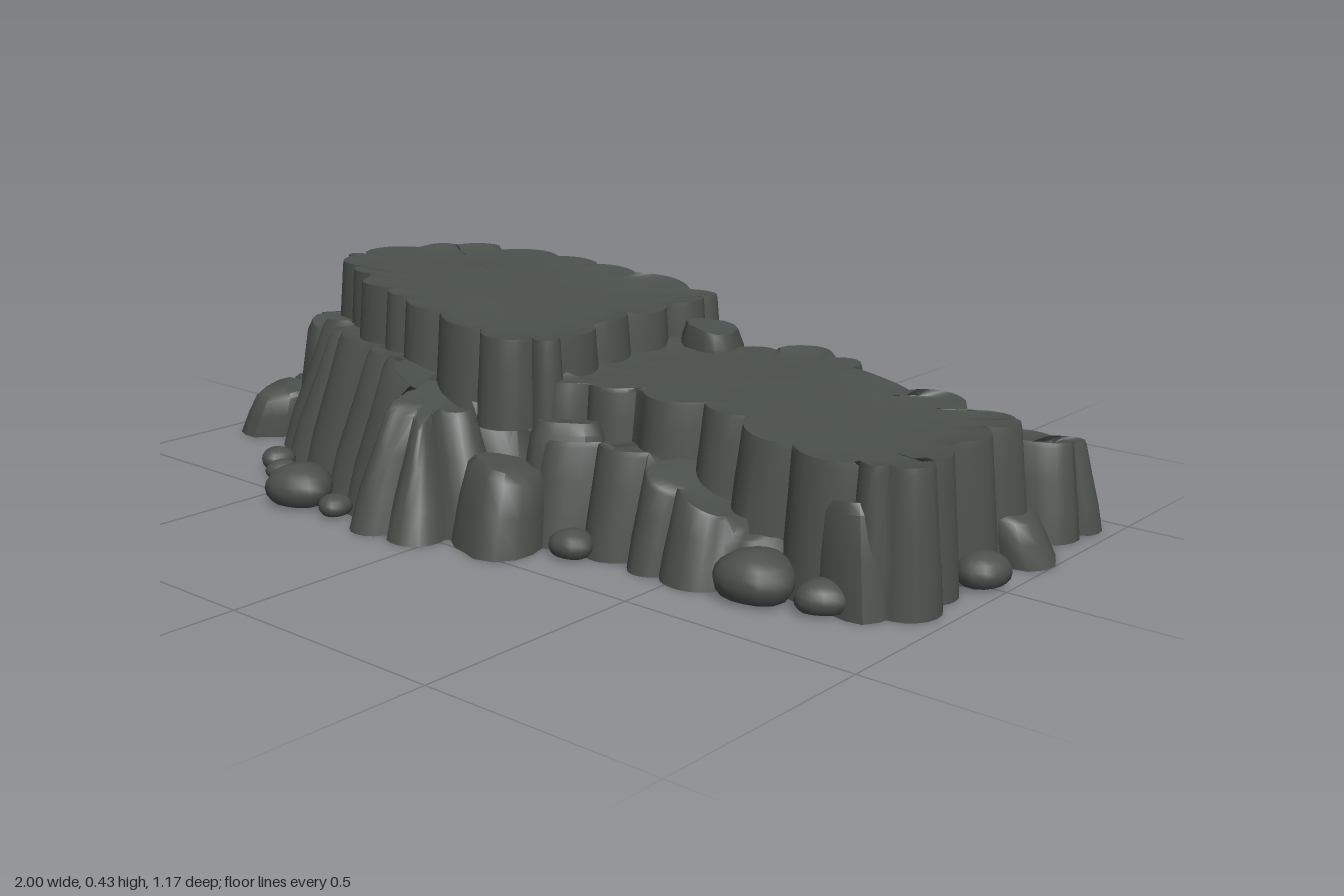
import * as THREE from 'three';
import { toCreasedNormals } from 'three/addons/utils/BufferGeometryUtils.js';

const stone = new THREE.MeshStandardMaterial({ color: 0x4a504c, side: THREE.DoubleSide });
stone.name = 'dark stone';

let seed = 7;
const rand = () => {
  seed = (seed * 16807) % 2147483647;
  return seed / 2147483647;
};
const vary = (amount) => (rand() - 0.5) * 2 * amount;

// Skin a stack of rings; a closed skin has its last ring collapsed to the middle
function skin(rings, crease, closed = true) {
  const n = rings[0].length;
  const index = [];
  for (let j = 0; j < rings.length - 1; j++) {
    for (let i = 0; i < n; i++) {
      const k = (i + 1) % n;
      const a = j * n + i, b = j * n + k, c = a + n, d = b + n;
      index.push(b, a, c);
      if (!closed || j < rings.length - 2) index.push(b, c, d);
    }
  }
  const geometry = new THREE.BufferGeometry();
  geometry.setAttribute('position', new THREE.Float32BufferAttribute(rings.flat(2), 3));
  geometry.setIndex(index);
  return toCreasedNormals(geometry, crease);
}

// Rock tier: base outline (clockwise from above) broken into column-like lobes.
// With a ledge it stays a hollow terrace, without one the top is closed.
function tier(name, outline, { base, inset, height, lobe, bulge, jag, ledge }) {
  const curve = new THREE.CatmullRomCurve3(outline.map(([x, z]) => new THREE.Vector3(x, 0, z)), true, 'centripetal');
  const count = Math.round(curve.getLength() / lobe);
  const cuts = Array.from({ length: count }, (_, k) => (k + vary(0.27) + 0.4) / count);
  const steps = 8;
  const rim = [];
  cuts.forEach((start, k) => {
    const end = k + 1 < count ? cuts[k + 1] : cuts[0] + 1;
    // narrow lobes stay shallow
    const depth = bulge * (1 + vary(0.3)) * (end - start) * count;
    const lift = vary(jag), slope = inset * (1 + vary(0.15));
    for (let s = 0; s < steps; s++) {
      const u = (start + (end - start) * s / steps) % 1;
      const p = curve.getPointAt(u), t = curve.getTangentAt(u);
      const round = Math.pow(Math.sin(Math.PI * s / steps), 0.75);
      rim.push({ x: p.x, z: p.z, nx: t.z, nz: -t.x, out: depth * (round - 0.5), lift, slope });
    }
  });
  const cx = rim.reduce((sum, p) => sum + p.x, 0) / rim.length;
  const cz = rim.reduce((sum, p) => sum + p.z, 0) / rim.length;
  const place = (p, rise, shift) => {
    const o = p.out - p.slope * shift;
    const x = p.x + p.nx * o, z = p.z + p.nz * o, foot = base(p.x, p.z);
    return [x, foot + (height(x, z) + p.lift - foot) * rise, z];
  };
  // Wall profile: rise and share of the inset
  const rings = [[0, 0], [0.3, 0.25], [0.65, 0.65], [0.95, 0.97], [1, 1.08]]
    .map(([rise, shift]) => rim.map((p) => place(p, rise, shift)));
  const edge = rings[rings.length - 1];
  // Gently uneven top, drawn in towards the middle
  for (const s of ledge ? [0.93, ledge] : [0.93, 0.8, 0.5, 0]) {
    rings.push(edge.map(([x, , z]) => {
      const px = cx + (x - cx) * s, pz = cz + (z - cz) * s;
      return [px, height(px, pz) - (s > 0.9 ? 0.006 : 0.01), pz];
    }));
  }
  const mesh = new THREE.Mesh(skin(rings, 1.15, !ledge), stone);
  mesh.name = name;
  return mesh;
}

// Single broken column with a tilted top
function chunk(name, x, z, r, h) {
  const sides = 14, turn = rand() * 6.28;
  const radii = Array.from({ length: sides }, (_, i) => r * (1 + 0.1 * Math.sin(i * 1.35 + turn) + vary(0.05)));
  const tiltX = vary(0.2), tiltZ = vary(0.2);
  const rings = [[0, 1], [0.5, 0.93], [0.9, 0.82], [1, 0.68], [1, 0]].map(([rise, scale]) =>
    radii.map((radius, i) => {
      const a = -i / sides * Math.PI * 2;
      const dx = Math.cos(a) * radius * scale, dz = Math.sin(a) * radius * scale;
      // lean towards the middle of the formation
      return [x * (1 - 0.03 * rise) + dx, rise * (h + dx * tiltX + dz * tiltZ), z * (1 - 0.08 * rise) + dz];
    }));
  const mesh = new THREE.Mesh(skin(rings, 0.8), stone);
  mesh.name = name;
  return mesh;
}

// Rounded stone lying on the ground
function pebble(x, z, r) {
  const geometry = new THREE.SphereGeometry(1, 14, 10);
  const p = geometry.attributes.position;
  const turn = rand() * 6;
  for (let i = 0; i < p.count; i++) {
    const a = Math.atan2(p.getZ(i), p.getX(i));
    const k = 1 + 0.07 * Math.sin(3 * a + turn);
    p.setXYZ(i, p.getX(i) * k * r, Math.max(p.getY(i), -0.6) * r * 0.7, p.getZ(i) * k * r);
  }
  geometry.computeVertexNormals();
  const mesh = new THREE.Mesh(geometry, stone);
  mesh.position.set(x, r * 0.42 + 0.008, z);
  mesh.name = 'pebble';
  return mesh;
}

export function createModel() {
  const model = new THREE.Group();
  model.name = 'rockPlateau';
  const { lerp, clamp, smoothstep } = THREE.MathUtils;

  // High plateau on the right half
  model.add(tier('upperPlateau', [
    [-0.81, 0.0], [-0.75, -0.18], [-0.58, -0.29], [-0.33, -0.34], [-0.08, -0.36], [0.06, -0.34],
    [0.06, -0.13], [0.09, 0.13], [0.1, 0.26], [-0.02, 0.34], [-0.18, 0.32], [-0.4, 0.27],
    [-0.56, 0.19], [-0.73, 0.09],
  ], {
    base: () => 0.2, inset: 0.015, lobe: 0.13, bulge: 0.032, jag: 0.006,
    height: (x) => lerp(0.426, 0.385, smoothstep(x, -0.45, 0.08)),
  }));

  // Sloping terrace around the high plateau
  model.add(tier('upperSkirt', [
    [-0.88, -0.08], [-0.84, -0.26], [-0.72, -0.42], [-0.58, -0.51], [-0.42, -0.565], [-0.28, -0.565],
    [-0.14, -0.51], [-0.02, -0.43], [0.08, -0.38], [0.1, 0], [0.08, 0.3], [0.05, 0.44], [-0.02, 0.54],
    [-0.14, 0.56], [-0.26, 0.49], [-0.42, 0.42], [-0.54, 0.37], [-0.66, 0.32], [-0.78, 0.21], [-0.84, 0.08],
  ], {
    base: (x, z) => (x > 0.05 && Math.abs(z) < 0.3 ? 0.18 : 0),
    inset: 0.095, lobe: 0.15, bulge: 0.04, jag: 0.018, ledge: 0.7,
    height: (x) => 0.305 - 0.08 * clamp((x + 0.25) / 0.2, 0, 1) - 0.03 * clamp((-x - 0.65) / 0.2, 0, 1),
  }));

  // Low plateau on the left half, reaching the ground at its outer end
  model.add(tier('lowerPlateau', [
    [0.0, -0.1], [0.06, -0.29], [0.17, -0.27], [0.29, -0.32], [0.44, -0.33], [0.57, -0.25], [0.73, -0.25],
    [0.91, -0.23], [0.93, -0.08], [0.93, 0.07], [0.96, 0.17], [0.91, 0.27], [0.78, 0.28], [0.66, 0.28],
    [0.46, 0.23], [0.25, 0.22], [0.06, 0.26], [0.0, 0.1],
  ], {
    base: (x, z) => (x > 0.62 && z > -0.24 ? 0 : 0.13), inset: 0.025, lobe: 0.13, bulge: 0.04, jag: 0.008,
    height: (x) => lerp(0.305, 0.272, smoothstep(x, 0.4, 0.85)),
  }));

  // Terrace behind and in front of the low plateau
  model.add(tier('lowerSkirt', [
    [0.04, -0.3], [0.06, -0.48], [0.16, -0.5], [0.24, -0.54], [0.35, -0.53], [0.46, -0.47], [0.56, -0.43],
    [0.65, -0.46], [0.77, -0.48], [0.92, -0.46], [0.97, -0.38], [0.89, -0.27], [0.8, -0.12], [0.78, 0.12],
    [0.7, 0.28], [0.6, 0.36], [0.48, 0.38], [0.37, 0.36], [0.25, 0.36], [0.12, 0.36], [0.05, 0.2], [0.03, -0.1],
  ], {
    base: (x, z) => ((x > 0.74 && z > -0.25) || (x < 0.1 && Math.abs(z) < 0.28) ? 0.13 : 0),
    inset: 0.045, lobe: 0.14, bulge: 0.04, jag: 0.015, ledge: 0.4,
    height: (x, z) => (z < 0 ? 0.185 + 0.1 * (z + 0.35) : 0.2 - 0.09 * clamp((x - 0.4) / 0.2, 0, 1)),
  }));

  // Broken columns: x, z, radius, height
  [
    [-0.91, -0.33, 0.075, 0.21], [-0.9, -0.2, 0.085, 0.23], [-0.93, -0.08, 0.07, 0.17], [-0.935, 0.04, 0.065, 0.1],
    [-0.89, 0.19, 0.075, 0.11], [-0.82, 0.02, 0.09, 0.28], [-0.77, 0.12, 0.08, 0.28], [-0.78, -0.33, 0.08, 0.25],
    [-0.71, -0.46, 0.065, 0.14],
  ].forEach((c) => model.add(chunk('sideColumn', ...c)));
  [[0.11, 0.43, 0.095, 0.16], [0.16, 0.29, 0.09, 0.23], [0.84, 0.25, 0.07, 0.2]]
    .forEach((c) => model.add(chunk('frontColumn', ...c)));
  [[0.925, -0.19, 0.075, 0.1], [0.14, -0.24, 0.08, 0.34], [0.02, -0.36, 0.08, 0.3]]
    .forEach((c) => model.add(chunk('backColumn', ...c)));

  // Loose stones around the foot: x, z, radius
  [
    [-0.8, -0.43, 0.042], [-0.65, -0.5, 0.05], [-0.08, -0.49, 0.034], [0.02, -0.51, 0.072], [0.49, -0.46, 0.034],
    [0.57, -0.47, 0.052], [0.945, 0, 0.055], [0.67, 0.33, 0.078], [0.8, 0.31, 0.05], [0.27, 0.39, 0.045],
    [-0.27, 0.53, 0.036], [-0.39, 0.52, 0.072], [-0.55, 0.44, 0.036], [-0.63, 0.39, 0.038],
  ].forEach((p) => model.add(pebble(...p)));

  return model;
}
